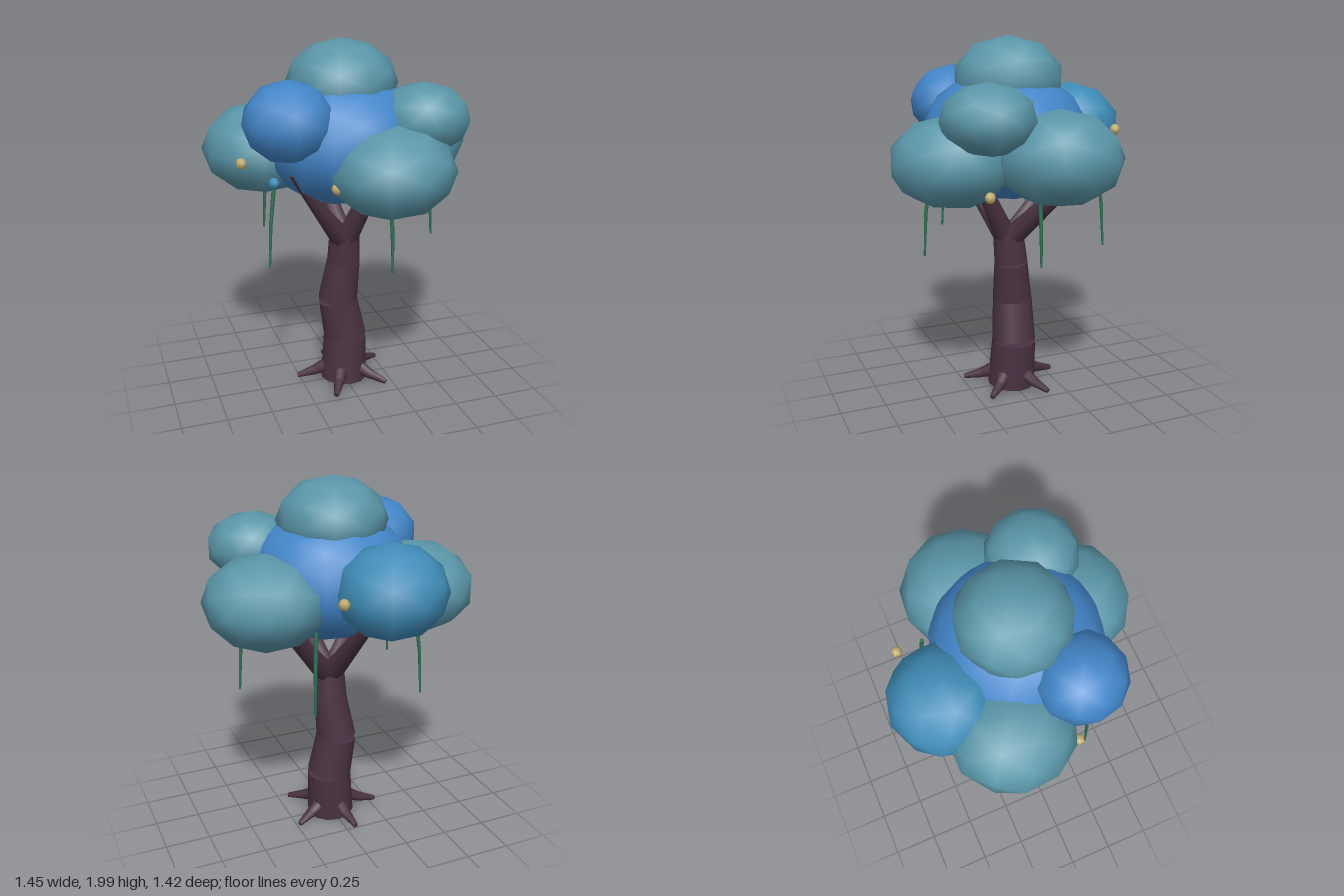
import * as THREE from 'three';

const mat = (name, color) => {
  const m = new THREE.MeshStandardMaterial({ color });
  m.name = name;
  return m;
};

export function createModel() {
  const bark = mat('plum bark', 0x4a3242);
  const teal = mat('teal leaves', 0x5a96a8);
  const blue = mat('blue leaves', 0x4285c8);
  const azure = mat('azure leaves', 0x3f8cb8);
  const vineGreen = mat('vine green', 0x2f7055);
  const gold = mat('pale gold', 0xc0ad72);

  const root = new THREE.Group();
  root.name = 'tree';
  const group = (name) => {
    const g = new THREE.Group();
    g.name = name;
    root.add(g);
    return g;
  };
  const V = (p) => new THREE.Vector3(...p);

  // Tapered round piece between two points
  const limb = (parent, name, a, b, ra, rb, material, sides = 10) => {
    const from = V(a), to = V(b), dir = to.clone().sub(from);
    const mesh = new THREE.Mesh(new THREE.CylinderGeometry(rb, ra, dir.length(), sides), material);
    mesh.position.copy(from).addScaledVector(dir, 0.5);
    mesh.quaternion.setFromUnitVectors(new THREE.Vector3(0, 1, 0), dir.normalize());
    mesh.name = name;
    parent.add(mesh);
  };
  // Chain of limbs; each point is [x, y, z, radius]
  const chain = (parent, name, pts, material, sides) => {
    for (let i = 0; i < pts.length - 1; i++) {
      const [p, q] = [pts[i], pts[i + 1]];
      limb(parent, name, p.slice(0, 3), q.slice(0, 3), p[3], q[3], material, sides);
    }
  };

  // Bent trunk
  chain(group('trunk'), 'trunkSegment', [
    [0, 0.015, 0, 0.135],
    [0.013, 0.28, -0.012, 0.125],
    [-0.028, 0.51, -0.02, 0.113],
    [0, 0.75, 0, 0.094],
    [0, 0.97, 0.022, 0.083],
  ], bark, 12);

  // Branches fanning into the crown
  const branches = group('branches');
  [
    [-0.36, 1.35, 0.24, 0.012],
    [0.13, 1.35, 0.27, 0.03],
    [0.38, 1.33, -0.26, 0.03],
    [-0.07, 1.34, -0.4, 0.03],
  ].forEach(([x, y, z, r]) => {
    limb(branches, 'branch', [x * 0.06, 0.9, 0.02 + z * 0.06], [x, y, z], 0.062, r, bark, 8);
  });

  // Five roots around the base
  const roots = group('roots');
  for (let i = 0; i < 5; i++) {
    const a = ((45 + 72 * i) * Math.PI) / 180;
    const at = (d, y, r) => [Math.cos(a) * d, y, Math.sin(a) * d, r];
    chain(roots, 'root', [at(0.08, 0.1, 0.045), at(0.17, 0.062, 0.03), at(0.275, 0.035, 0.014)], bark, 7);
  }

  // Leaf clumps: name, material, centre, horizontal radius, vertical radius, turn, detail
  const crown = group('crown');
  [
    ['coreClump', blue, [-0.01, 1.475, 0.03], 0.45, 0.355, 0.3, 2],
    ['topClump', teal, [-0.015, 1.77, 0.01], 0.3, 0.23, 0.2, 1],
    ['rightClump', teal, [-0.405, 1.41, -0.17], 0.335, 0.25, 0.35, 1],
    ['leftClump', teal, [0.4, 1.4, -0.1], 0.335, 0.25, 1.2, 1],
    ['frontClump', teal, [0.13, 1.37, 0.38], 0.335, 0.245, 0.15, 1],
    ['backClump', azure, [-0.155, 1.48, -0.42], 0.295, 0.25, 0.1, 1],
    ['upperRightClump', blue, [-0.36, 1.62, 0.21], 0.24, 0.212, 0.5, 1],
    ['upperLeftClump', teal, [0.345, 1.605, 0.265], 0.25, 0.187, 0.9, 1],
  ].forEach(([name, material, c, r, ry, turn, detail]) => {
    const mesh = new THREE.Mesh(new THREE.IcosahedronGeometry(1, detail), material);
    mesh.scale.set(r, ry, r);
    mesh.rotation.y = turn;
    mesh.position.set(...c);
    mesh.name = name;
    crown.add(mesh);
  });

  // Hanging vines: x and z of the lower tip
  const vines = group('vines');
  [[-0.487, 0.245], [-0.367, -0.38], [0.085, 0.53], [0.27, -0.435], [0.515, 0.05]].forEach(([x, z]) => {
    chain(vines, 'vine', [
      [x * 0.92, 1.31, z * 0.92, 0.012],
      [x * 0.975, 1.1, z * 0.975, 0.01],
      [x, 0.87, z, 0.006],
    ], vineGreen, 6);
  });

  // Small berries on the crown
  const berries = group('berries');
  [
    [[-0.59, 1.4, 0.115], gold],
    [[0.415, 1.23, 0.285], gold],
    [[0.165, 1.49, -0.55], gold],
    [[-0.17, 1.305, 0.4], gold],
    [[-0.45, 1.315, 0.23], azure],
  ].forEach(([p, material]) => {
    const mesh = new THREE.Mesh(new THREE.SphereGeometry(0.03, 6, 5), material);
    mesh.rotation.y = Math.PI / 6;
    mesh.position.set(...p);
    mesh.name = 'berry';
    berries.add(mesh);
  });

  return root;
}
